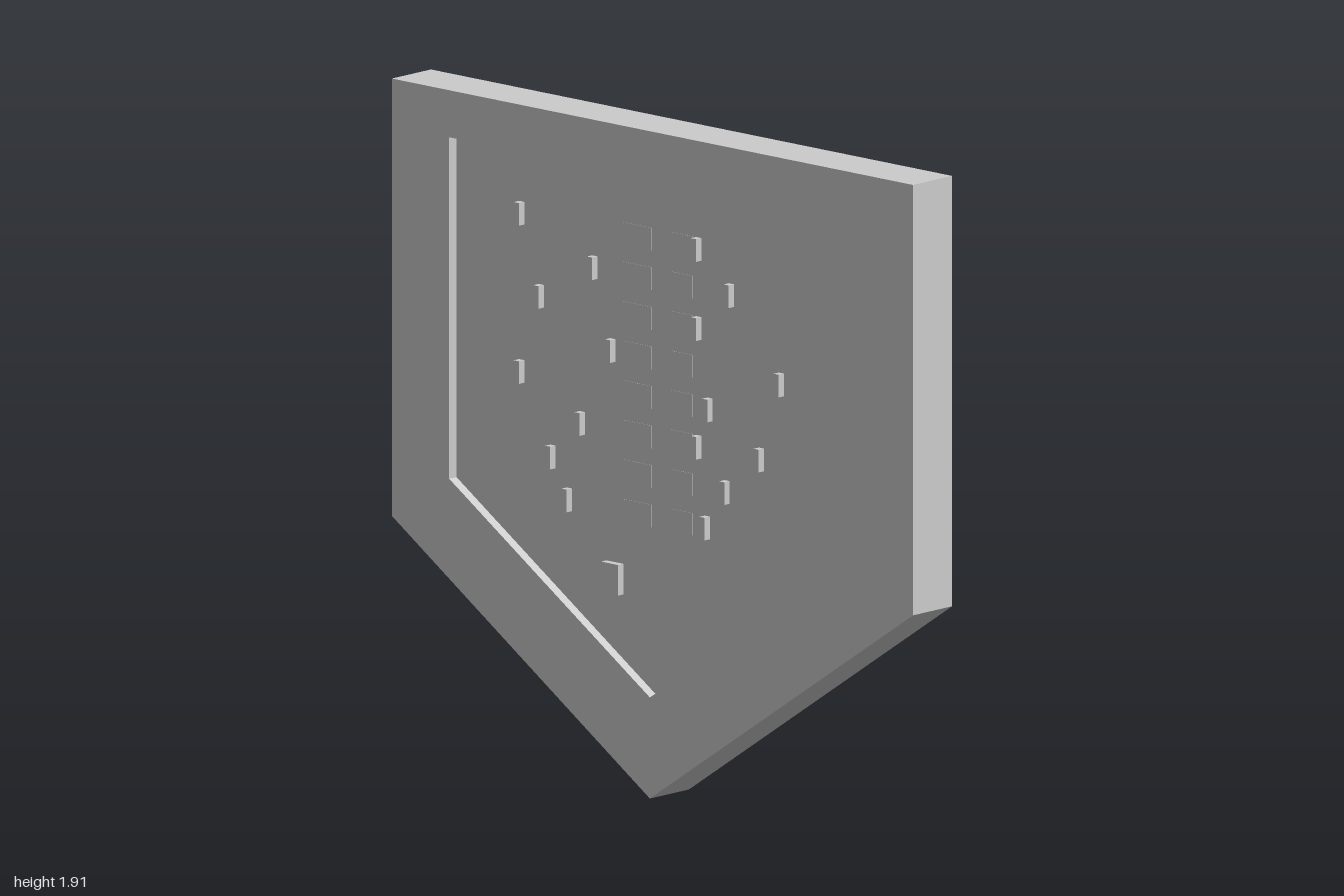
import * as THREE from 'three';

const FRONT = 0.08, BACK = -0.08, PANEL = 0.05;

// Five-sided outlines, counter-clockwise seen from the front
const OUTER = [[-1, 1.915], [-1, 0.66], [-0.01, 0], [1, 0.68], [1, 1.915]];
const INNER = [[-0.78, 1.78], [-0.78, 0.8], [-0.01, 0.29], [0.78, 0.82], [0.78, 1.78]];

const toVectors = (pts) => pts.map(([x, y]) => new THREE.Vector2(x, y));

// Strip of flat walls joining an outline at two depths
function wallGeometry(pts, zFront, zBack) {
  const v = [];
  pts.forEach(([ax, ay], i) => {
    const [bx, by] = pts[(i + 1) % pts.length];
    v.push(ax, ay, zFront, ax, ay, zBack, bx, by, zBack);
    v.push(ax, ay, zFront, bx, by, zBack, bx, by, zFront);
  });
  const g = new THREE.BufferGeometry();
  g.setAttribute('position', new THREE.Float32BufferAttribute(v, 3));
  g.computeVertexNormals();
  return g;
}

export function createModel() {
  const model = new THREE.Group();
  model.name = 'fiveSidedPanel';
  const sheet = new THREE.MeshStandardMaterial({ color: 0xcccccc, side: THREE.DoubleSide });
  const solid = new THREE.MeshStandardMaterial({ color: 0xcccccc });

  const add = (name, geometry, material, parent = model) => {
    const mesh = new THREE.Mesh(geometry, material);
    mesh.name = name;
    parent.add(mesh);
    return mesh;
  };

  // Block standing on the recessed panel
  const addBlock = (name, x, y, w, h, depth, parent) => {
    const mesh = add(name, new THREE.BoxGeometry(w, h, depth), solid, parent);
    mesh.position.set(x, y, PANEL + depth / 2);
  };

  // Thin shell, open at the back: rim face, outer walls, recess walls, recessed panel
  const rim = new THREE.Shape(toVectors(OUTER));
  rim.holes.push(new THREE.Path(toVectors(INNER)));
  add('frontRim', new THREE.ShapeGeometry(rim).translate(0, 0, FRONT), sheet);
  add('outerWalls', wallGeometry(OUTER, FRONT, BACK), sheet);
  add('recessWalls', wallGeometry([...INNER].reverse(), FRONT, PANEL), sheet);
  const panel = new THREE.Shape(toVectors(INNER));
  add('recessedPanel', new THREE.ShapeGeometry(panel).translate(0, 0, PANEL), sheet);

  // Eight rows of pegs either side of nearly flush centre tiles
  const rows = [
    [-0.53, 0.15], [-0.25, 0.275], [-0.455, 0.15], [-0.18, 0.467],
    [-0.53, 0.193], [-0.297, 0.15, 0.39], [-0.41, 0.258], [-0.347, 0.182],
  ];
  rows.forEach((xs, i) => {
    const y = 1.597 - i * 0.1135;
    const row = new THREE.Group();
    row.name = 'pegRow' + (i + 1);
    model.add(row);
    for (const x of xs) addBlock('peg', x, y, 0.02, 0.065, 0.022, row);
    addBlock('tileRight', -0.085, y, 0.11, 0.065, 0.001, row);
    addBlock('tileLeft', 0.085, y, 0.08, 0.065, 0.001, row);
  });

  // Larger block near the point
  addBlock('lowerBlock', -0.172, 0.605, 0.065, 0.088, 0.022, model);

  return model;
}
